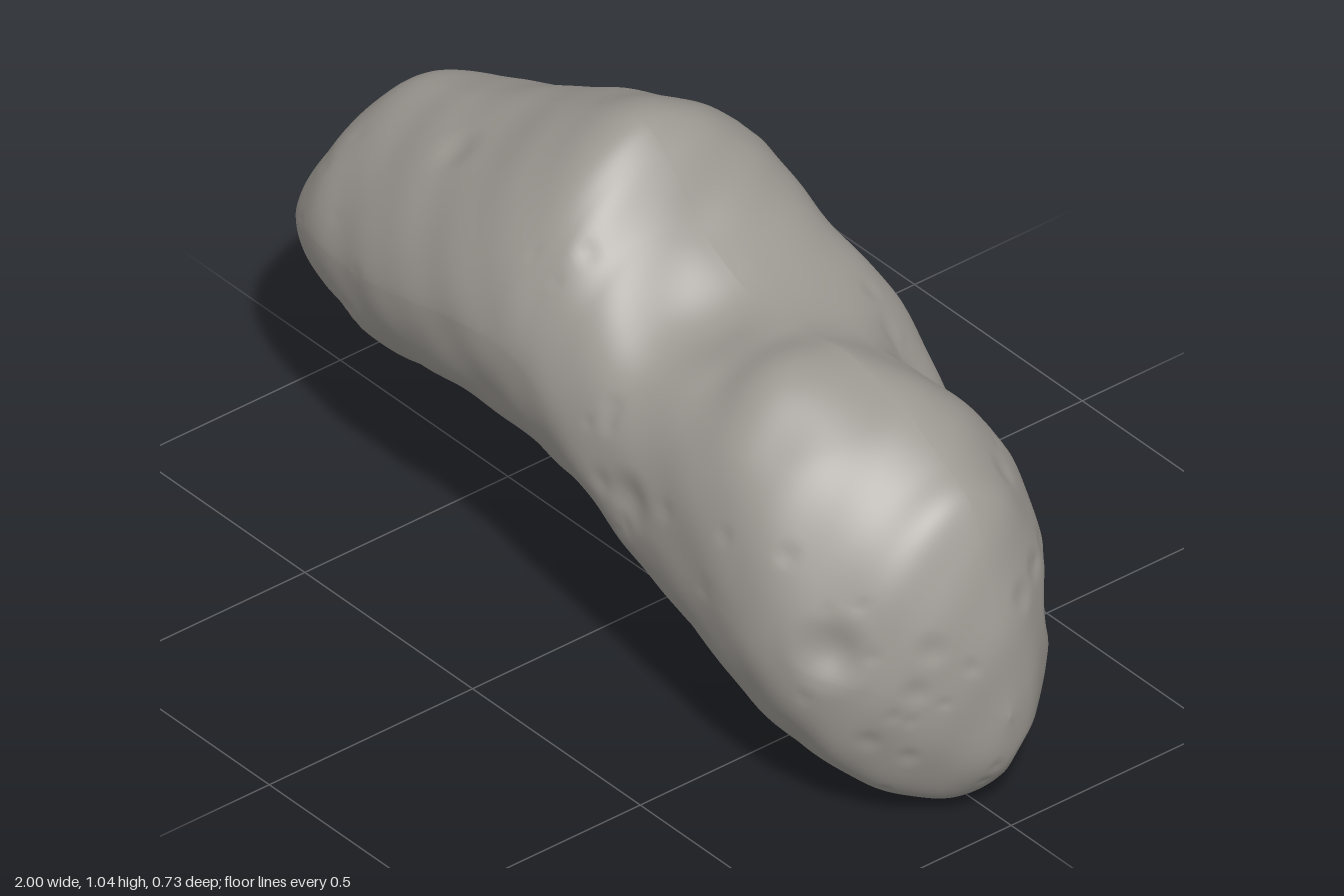
import * as THREE from 'three';

// Stations along the body: x, top y, bottom y, front half-width, back half-width
const STATIONS = [
  [-1, .42, .42, 0, 0], [-.98, .5, .355, .09, .09], [-.93, .6, .315, .17, .17],
  [-.8, .755, .28, .25, .245], [-.63, .83, .265, .3, .285], [-.45, .905, .3, .335, .315],
  [-.25, 1, .31, .35, .335], [-.12, 1.045, .295, .35, .345], [-.04, 1.01, .28, .345, .35],
  [.05, .91, .285, .345, .355], [.13, .85, .265, .345, .36], [.23, .815, .2, .345, .365],
  [.35, .81, .15, .35, .355], [.48, .83, .085, .355, .34], [.6, .815, .035, .36, .32],
  [.7, .785, .02, .355, .29], [.8, .73, .01, .32, .245], [.88, .68, .02, .245, .19],
  [.94, .56, .07, .165, .125], [.98, .42, .14, .08, .07], [1, .25, .25, 0, 0],
];

// Roundness of the upper section along x: low is ridged, 2 is round, high is boxy
const UPPER_FRONT = [[-.1, 1.65], [.2, 2.3], [.5, 2.7], [.8, 1.75]];
const UPPER_BACK = [[-.1, 1.9], [.2, 2.9], [.46, 1.35], [.75, 1.9]];

const LENGTH_STEPS = 200, ARC_STEPS = 84;
const { lerp, clamp, smoothstep } = THREE.MathUtils;

function roundness(knots, x) {
  let value = knots[0][1];
  for (let k = 1; k < knots.length; k++) {
    value = lerp(value, knots[k][1], smoothstep(x, knots[k - 1][0], knots[k][0]));
  }
  return value;
}

// Catmull-Rom blend of all station columns at u in 0..1
function station(u) {
  const last = STATIONS.length - 1;
  const i = Math.min(Math.floor(u * last), last - 1), t = u * last - i;
  const at = k => STATIONS[clamp(k, 0, last)];
  const [a, b, c, d] = [at(i - 1), at(i), at(i + 1), at(i + 2)];
  return b.map((_, k) => 0.5 * (2 * b[k] + (c[k] - a[k]) * t
    + (2 * a[k] - 5 * b[k] + 4 * c[k] - d[k]) * t * t
    + (3 * b[k] - a[k] - 3 * c[k] + d[k]) * t * t * t));
}

// Smooth body point; side is +1 for the front half and -1 for the back
function bodyPoint(u, angle, side) {
  const [x, top, bottom, front, back] = station(u);
  const middle = (bottom + top) / 2;
  const c = Math.cos(angle), s = Math.max(0, Math.sin(angle));
  const power = 2 / (c > 0 ? roundness(side > 0 ? UPPER_FRONT : UPPER_BACK, x) : 2.05);
  const y = middle + (c > 0 ? top - middle : bottom - middle) * Math.abs(c) ** power;
  return new THREE.Vector3(x, y, side * Math.max(0, side > 0 ? front : back) * s ** power);
}

function seededRandom(seed) {
  return () => {
    seed = (seed * 1664525 + 1013904223) % 4294967296;
    return seed / 4294967296;
  };
}

// Large hollows (negative depth is a swelling), then scattered small craters
function makeCraters() {
  const hollow = (x, y, z, radius, depth) => ({ centre: new THREE.Vector3(x, y, z), radius, depth });
  const craters = [
    hollow(.2, .79, .12, .2, .03), hollow(.5, .83, .12, .2, -.02),
    hollow(.44, .68, -.24, .17, .02), hollow(.85, .37, -.22, .13, .025),
    hollow(.82, .43, .3, .11, .025), hollow(-.7, .36, .25, .09, .02),
    hollow(.28, .52, .35, .09, .012), hollow(.95, .13, -.07, .08, .012),
    hollow(-.47, .84, .15, .08, .01),
  ];
  const random = seededRandom(17);
  for (let i = 0; i < 120; i++) {
    const side = random() < 0.6 ? 1 : -1;
    const centre = bodyPoint(0.05 + 0.9 * random(), Math.PI * (0.2 + 0.75 * random()), side);
    const radius = 0.025 + 0.035 * random() ** 2;
    craters.push({ centre, radius, depth: radius * 0.1 });
  }
  return craters;
}

// Height change from craters, their low rims and gentle lumps
function relief(p, craters) {
  let h = 0.003 * Math.sin(13 * p.x + 7 * p.y) * Math.cos(15 * p.z + 9 * p.y)
    + 0.002 * Math.sin(31 * p.x - 17 * p.z) * Math.sin(27 * p.y + 11 * p.z);
  for (const { centre, radius, depth } of craters) {
    const d = p.distanceTo(centre) / radius;
    if (d < 1) h -= depth * (1 - d * d) ** 2 * (1 - 1.6 * d * d);
  }
  return h;
}

function halfGeometry(side, craters) {
  const positions = [], index = [], row = ARC_STEPS + 1;
  for (let i = 0; i <= LENGTH_STEPS; i++) {
    const u = i / LENGTH_STEPS;
    const [, top, bottom] = station(u);
    for (let j = 0; j <= ARC_STEPS; j++) {
      const p = bodyPoint(u, Math.PI * j / ARC_STEPS, side);
      const spine = new THREE.Vector3(clamp(p.x, -0.75, 0.7), (top + bottom) / 2, 0);
      const outward = p.clone().sub(spine).normalize();
      p.addScaledVector(outward, relief(p, craters));
      positions.push(p.x, p.y, p.z);
      if (i < LENGTH_STEPS && j < ARC_STEPS) {
        const a = i * row + j, b = a + 1, c = a + row, d = c + 1;
        if (side > 0) index.push(a, b, c, b, d, c);
        else index.push(a, c, b, b, c, d);
      }
    }
  }
  const geometry = new THREE.BufferGeometry();
  geometry.setAttribute('position', new THREE.Float32BufferAttribute(positions, 3));
  geometry.setIndex(index);
  geometry.computeVertexNormals();
  return geometry;
}

export function createModel() {
  const group = new THREE.Group();
  group.name = 'asteroid';
  const material = new THREE.MeshStandardMaterial({ color: 0x9b9791, side: THREE.DoubleSide });
  const craters = makeCraters();

  // Two rock halves meeting along the lengthwise seam
  for (const [name, side] of [['frontHalf', 1], ['backHalf', -1]]) {
    const mesh = new THREE.Mesh(halfGeometry(side, craters), material);
    mesh.name = name;
    group.add(mesh);
  }

  // Thin loose flake below the body
  const flake = new THREE.SphereGeometry(1, 16, 6, 0, Math.PI * 2, 0, Math.PI / 2);
  flake.scale(0.055, 0.02, 0.026);
  const chip = new THREE.Mesh(flake, material);
  chip.name = 'looseChip';
  chip.rotation.z = -0.2;
  chip.position.set(0.135, 0.013, -0.025);
  group.add(chip);
  return group;
}
